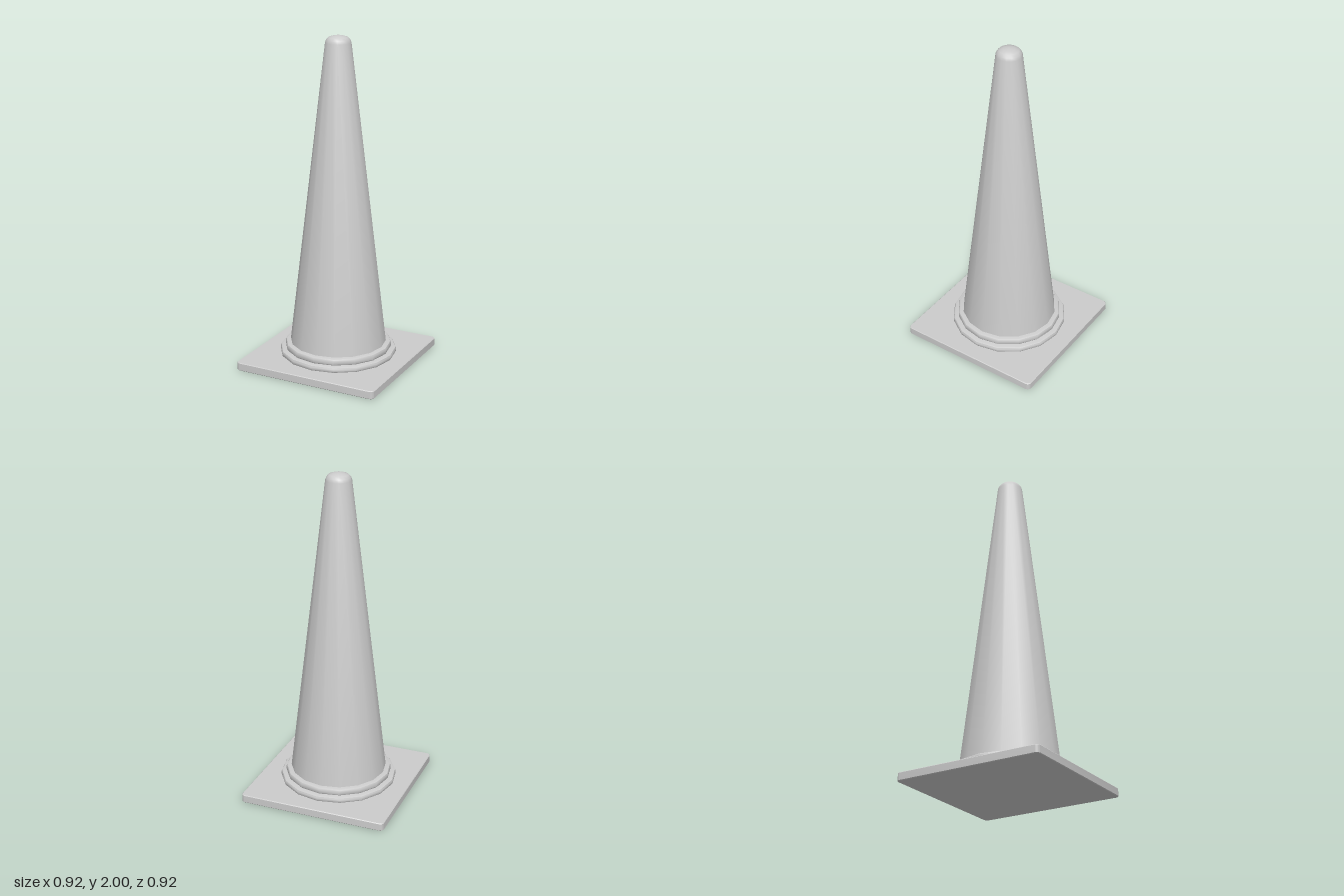
import * as THREE from 'three';
import { toCreasedNormals } from 'three/addons/utils/BufferGeometryUtils.js';

const SIDES = 16;
const material = new THREE.MeshStandardMaterial({ color: 0xcccccc });

function addPart(group, name, geometry) {
  const mesh = new THREE.Mesh(toCreasedNormals(geometry, 0.6), material);
  mesh.name = name;
  group.add(mesh);
}

// Turned part from [radius, height] pairs, listed from the bottom up
function turned(profile) {
  return new THREE.LatheGeometry(profile.map(([r, y]) => new THREE.Vector2(r, y)), SIDES);
}

// Stepped collar with a softened upper edge
function collar(radius, bottom, top) {
  return turned([
    [radius - 0.004, bottom], [radius, bottom + 0.006], [radius, top - 0.012],
    [radius - 0.004, top - 0.004], [radius - 0.013, top], [0.2, top],
  ]);
}

// Square plate with rounded corners, lying flat
function plate(half, corner, height) {
  const bevel = 0.004;
  const h = half - bevel, c = h - corner;
  const shape = new THREE.Shape();
  shape.absarc(c, c, corner, 0, Math.PI / 2);
  shape.absarc(-c, c, corner, Math.PI / 2, Math.PI);
  shape.absarc(-c, -c, corner, Math.PI, Math.PI * 1.5);
  shape.absarc(c, -c, corner, Math.PI * 1.5, Math.PI * 2);
  shape.closePath();
  const geometry = new THREE.ExtrudeGeometry(shape, {
    depth: height - 2 * bevel, curveSegments: 4,
    bevelEnabled: true, bevelSize: bevel, bevelThickness: bevel, bevelSegments: 1,
  });
  return geometry.rotateX(-Math.PI / 2).translate(0, bevel, 0);
}

export function createModel() {
  const group = new THREE.Group();
  group.name = 'trafficCone';

  addPart(group, 'basePlate', plate(0.458, 0.022, 0.05));
  addPart(group, 'lowerCollar', collar(0.357, 0.05, 0.083));
  addPart(group, 'upperCollar', collar(0.325, 0.083, 0.122));

  // Tapered body with a domed tip
  addPart(group, 'coneBody', turned([
    [0.294, 0.115], [0.077, 1.955], [0.071, 1.973], [0.058, 1.987], [0.034, 1.995], [0, 2],
  ]));

  return group;
}
